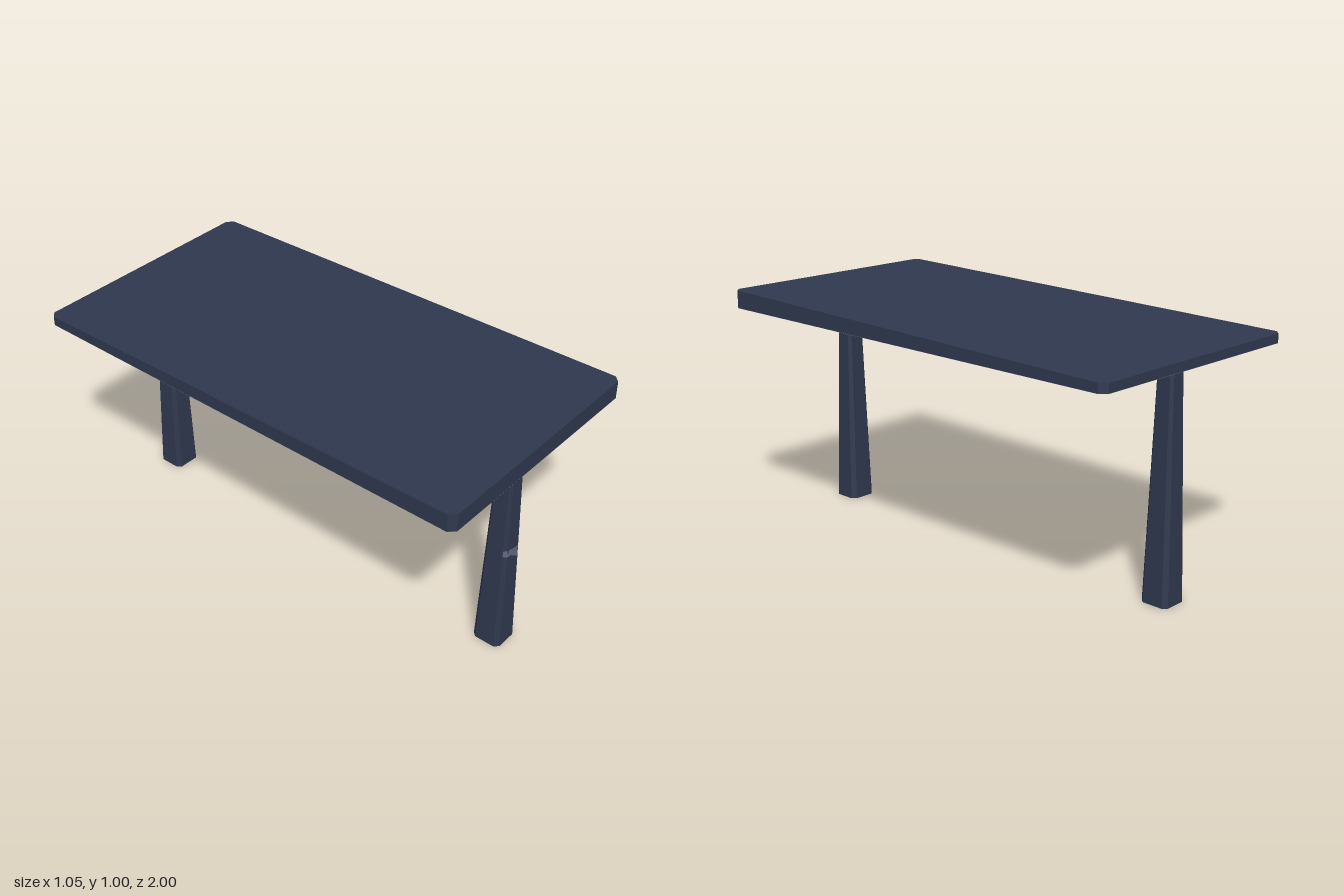
import * as THREE from 'three';

const material = (name, color, side = THREE.FrontSide) => {
  const m = new THREE.MeshStandardMaterial({ color, side });
  m.name = name;
  return m;
};

const UNDER = 0.926; // height of the slab's underside
const LEG_Z = 0.876;

// Rectangle with cut corners
function cutRect(w, d, c) {
  return new THREE.Shape([
    [w - c, -d], [w, c - d], [w, d - c], [w - c, d],
    [c - w, d], [-w, d - c], [-w, c - d], [c - w, -d],
  ].map(([x, y]) => new THREE.Vector2(x, y)));
}

// Cut rectangle extruded upwards, its vertices moved by a rule
function prism(shape, height, rule) {
  const g = new THREE.ExtrudeGeometry(shape, { depth: height, bevelEnabled: false });
  g.rotateX(-Math.PI / 2);
  const p = g.attributes.position;
  const v = new THREE.Vector3();
  for (let i = 0; i < p.count; i++) {
    rule(v.fromBufferAttribute(p, i));
    p.setXYZ(i, v.x, v.y, v.z);
  }
  g.computeVertexNormals();
  return g;
}

const legHalf = (y) => THREE.MathUtils.lerp(0.061, 0.036, y / UNDER);

export function createModel() {
  const model = new THREE.Group();
  model.name = 'table';
  const navy = material('navy', 0x2f384e);
  const mauve = material('mauve', 0x666684, THREE.DoubleSide);
  const teal = material('teal', 0x64a8a4);

  const add = (parent, name, geometry, mat) => {
    const mesh = new THREE.Mesh(geometry, mat);
    mesh.name = name;
    parent.add(mesh);
    return mesh;
  };

  // Slab, its top sloping down towards the back
  const outline = cutRect(0.523, 1, 0.025);
  const slab = prism(outline, 1, (v) => {
    v.y = v.y > 0.5 ? 0.9815 + 0.0185 * v.z : UNDER;
  });
  add(model, 'tableTop', slab, navy);

  // Painted underside with a centre stripe
  const underside = new THREE.ShapeGeometry(outline).rotateX(Math.PI / 2);
  add(model, 'underside', underside, mauve).position.y = UNDER - 0.001;
  const stripe = new THREE.BoxGeometry(0.022, 0.002, 1.86);
  add(model, 'undersideStripe', stripe, teal).position.y = UNDER - 0.002;

  // Worn patch wrapping the front face and one cut edge of a leg
  const patches = [
    [[-0.036, 0.45], [-0.012, 0.448], [0.01, 0.43], [0.032, 0.418],
      [0.032, 0.468], [0, 0.474], [-0.036, 0.483]],
    [[-0.048, 0.455], [-0.036, 0.45], [-0.036, 0.483], [-0.048, 0.48]],
  ];
  const patchGeometries = patches.map((points) => {
    const g = new THREE.ShapeGeometry(new THREE.Shape(points.map(([x, y]) => new THREE.Vector2(x, y))));
    const p = g.attributes.position;
    for (let i = 0; i < p.count; i++) {
      const half = legHalf(p.getY(i));
      p.setZ(i, half + 0.001 - Math.max(0, Math.abs(p.getX(i)) - half * 0.72));
    }
    g.computeVertexNormals();
    return g;
  });

  // Tapered legs with cut corners
  const legGeometry = prism(cutRect(1, 1, 0.28), UNDER, (v) => {
    v.x *= legHalf(v.y);
    v.z *= legHalf(v.y);
  });
  for (const [name, z] of [['frontLeg', LEG_Z], ['backLeg', -LEG_Z]]) {
    const leg = new THREE.Group();
    leg.name = name;
    leg.position.z = z;
    add(leg, 'post', legGeometry, navy);
    patchGeometries.forEach((g) => add(leg, 'wornPatch', g, mauve));
    model.add(leg);
  }
  return model;
}
